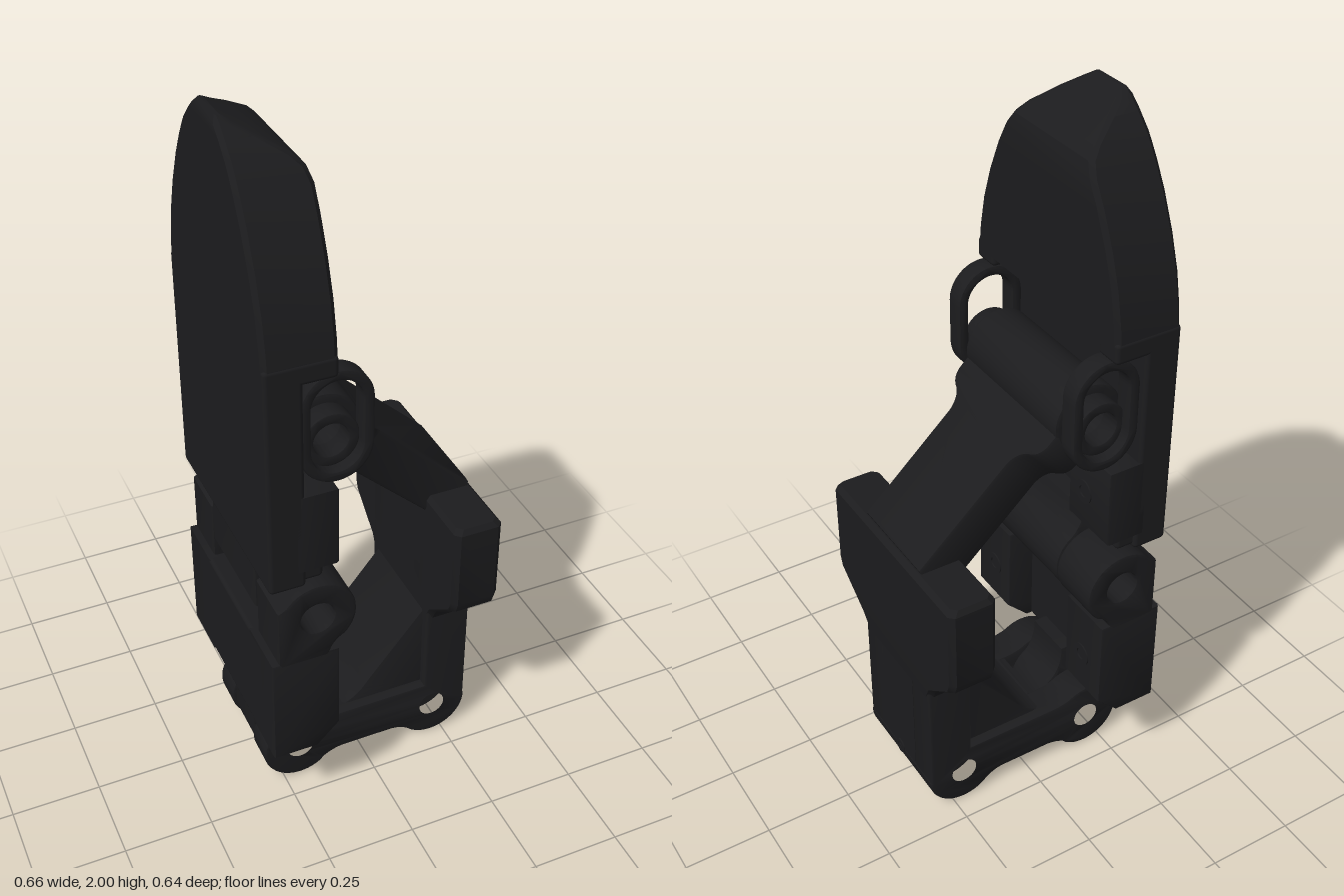
import * as THREE from 'three';
import { toCreasedNormals } from 'three/addons/utils/BufferGeometryUtils.js';
import { RoundedBoxGeometry } from 'three/addons/geometries/RoundedBoxGeometry.js';

const dark = new THREE.MeshStandardMaterial({ color: 0x1c1c1e });
const HOLE = 0.047;

export function createModel() {
  const root = new THREE.Group();

  function add(name, geo) {
    const mesh = new THREE.Mesh(geo, dark);
    mesh.name = name;
    root.add(mesh);
    return mesh;
  }

  // Bevelled slab of a shape drawn in the x-y plane, from z0 to z1
  function slab(shape, z0, z1, bevel = 0.008) {
    const geo = new THREE.ExtrudeGeometry(shape, {
      depth: z1 - z0 - 2 * bevel, curveSegments: 24,
      bevelEnabled: bevel > 0, bevelThickness: bevel, bevelSize: bevel, bevelOffset: -bevel, bevelSegments: 2,
    });
    geo.translate(0, 0, z0 + bevel);
    return toCreasedNormals(geo, 0.6);
  }
  function pair(name, shape, z0, z1, bevel) {
    add(name, slab(shape, z0, z1, bevel));
    add(name, slab(shape, -z1, -z0, bevel));
  }
  function box(name, x0, x1, y0, y1, z0, z1, r = 0.012) {
    const geo = new RoundedBoxGeometry(x1 - x0, y1 - y0, z1 - z0, 2, r);
    add(name, geo.translate((x0 + x1) / 2, (y0 + y1) / 2, (z0 + z1) / 2));
  }
  function boxPair(name, x0, x1, y0, y1, z0, z1) {
    box(name, x0, x1, y0, y1, z0, z1);
    box(name, x0, x1, y0, y1, -z1, -z0);
  }
  const poly = (...pts) => new THREE.Shape(pts.map(([x, y]) => new THREE.Vector2(x, y)));
  function drill(shape, x, y, r = HOLE) {
    shape.holes.push(new THREE.Path().absarc(x, y, r, 0, Math.PI * 2, true));
    return shape;
  }
  const disc = (x, y, r) => new THREE.Shape().absarc(x, y, r, 0, Math.PI * 2, false);

  // Loft of chamfered rectangles; each row is [y, halfWidth, backX, frontX]
  function loft(rows, c = 0.012) {
    const pos = [], idx = [], n = 8;
    for (const [y, w, b, f] of rows) {
      const k = Math.min(c, (f - b) / 3, w / 3);
      for (const [x, z] of [[f, w - k], [f, k - w], [f - k, -w], [b + k, -w], [b, k - w], [b, w - k], [b + k, w], [f - k, w]])
        pos.push(x, y, z);
    }
    for (let i = 0; i < rows.length - 1; i++)
      for (let j = 0; j < n; j++) {
        const a = i * n + j, d = i * n + (j + 1) % n;
        idx.push(a, d, a + n, d, d + n, a + n);
      }
    const top = (rows.length - 1) * n;
    for (let j = 1; j < n - 1; j++) idx.push(0, j + 1, j, top, top + j, top + j + 1);
    const geo = new THREE.BufferGeometry();
    geo.setAttribute('position', new THREE.Float32BufferAttribute(pos, 3));
    geo.setIndex(idx);
    return toCreasedNormals(geo, 0.5);
  }

  // Screw with a rim and a hollow centre, facing +x
  function screw(x, y, z, r = 0.034) {
    const profile = [[0, -0.01], [r * 0.5, -0.01], [r * 0.5, 0.004], [r, 0.004], [r, -0.01]];
    const geo = new THREE.LatheGeometry(profile.map(p => new THREE.Vector2(...p)).reverse(), 20);
    geo.rotateZ(-Math.PI / 2).translate(x, y, z);
    add('screw', toCreasedNormals(geo, 0.5));
  }

  // Upper plate: pointed blade, thin back slab, side lugs and screw pads
  add('blade', loft([
    [1.46, 0.32, -0.33, -0.14], [1.53, 0.313, -0.33, -0.14], [1.62, 0.295, -0.33, -0.14],
    [1.71, 0.265, -0.33, -0.14], [1.8, 0.225, -0.33, -0.14], [1.86, 0.191, -0.33, -0.14],
    [1.895, 0.168, -0.33, -0.15], [1.92, 0.15, -0.33, -0.175], [1.96, 0.11, -0.33, -0.24],
    [1.985, 0.08, -0.33, -0.285], [2, 0.058, -0.322, -0.31],
  ]));
  box('plateBack', -0.33, -0.23, 0.83, 1.48, -0.32, 0.32);
  boxPair('sideLug', -0.33, -0.14, 1.43, 1.49, 0.24, 0.32);
  const pad = poly([0.14, 0.88], [0.32, 0.88], [0.32, 1.11], [0.23, 1.11], [0.215, 1.07], [0.14, 1.05]);
  for (const s of [1, -1]) {
    const geo = slab(pad, -0.26, -0.14);
    // Turn the pad so its outline lies in the z-y plane
    geo.applyMatrix4(new THREE.Matrix4().makeBasis(
      new THREE.Vector3(0, 0, -1), new THREE.Vector3(0, 1, 0), new THREE.Vector3(1, 0, 0)));
    if (s > 0) geo.rotateY(Math.PI).translate(-0.4, 0, 0);
    add('screwPad', geo);
    screw(-0.14, 0.99, s * 0.21);
  }
  boxPair('plateFoot', -0.31, -0.18, 0.84, 0.9, 0.14, 0.31);

  // Hinge between plate and lower block
  const hx = -0.2, hy = 0.71;
  const knuckle = new THREE.Shape();
  knuckle.moveTo(-0.31, 0.57);
  knuckle.lineTo(-0.17, 0.57);
  knuckle.quadraticCurveTo(-0.165, 0.61, -0.13, 0.63);
  knuckle.absarc(hx, hy, 0.108, -0.82, Math.PI * 0.8, false);
  knuckle.lineTo(-0.31, 0.76);
  drill(knuckle, hx, hy);
  pair('lowerKnuckle', knuckle, 0.165, 0.32);
  const mid = new THREE.Shape();
  mid.moveTo(-0.31, 0.87);
  mid.lineTo(-0.31, 0.66);
  mid.lineTo(-0.287, 0.65);
  mid.absarc(hx, hy, 0.105, -2.53, 0.85, false);
  mid.quadraticCurveTo(-0.165, 0.81, -0.18, 0.87);
  add('upperKnuckle', slab(drill(mid, hx, hy), -0.16, 0.16));

  // Lower block with screw cheeks and a tongue that enters the fork
  const cheek = poly([-0.33, 0.25], [-0.205, 0.25], [-0.14, 0.315], [-0.14, 0.588], [-0.33, 0.588]);
  pair('blockCheek', cheek, 0.15, 0.32);
  box('blockBack', -0.33, -0.22, 0.25, 0.588, -0.25, 0.25);
  screw(-0.14, 0.43, 0.23);
  screw(-0.14, 0.43, -0.23);
  const tongue = new THREE.Shape();
  tongue.moveTo(-0.3, 0.3);
  tongue.lineTo(-0.3, 0.11);
  tongue.absarc(-0.2, 0.11, 0.1, Math.PI, Math.PI * 2.3, false);
  tongue.quadraticCurveTo(-0.18, 0.22, -0.18, 0.3);
  add('tongue', slab(drill(tongue, -0.2, 0.11), -0.075, 0.075));

  // Frame profile: base bar, rear boss and column, with or without the fork boss
  function frameShape(fork) {
    const s = new THREE.Shape();
    s.moveTo(0.32, 0.84);
    s.lineTo(0.32, 0.11);
    s.absarc(0.215, 0.11, 0.107, 0, -2.25, true);
    s.quadraticCurveTo(0.12, 0.055, 0.08, 0.055);
    s.lineTo(-0.06, 0.055);
    if (fork) {
      s.quadraticCurveTo(-0.1, 0.055, -0.133, 0.03);
      s.absarc(-0.2, 0.11, 0.107, -0.87, -5.25, true);
      s.quadraticCurveTo(-0.12, 0.19, -0.08, 0.19);
    } else s.lineTo(-0.06, 0.19);
    s.lineTo(0.19, 0.19);
    s.lineTo(0.19, 0.84);
    if (fork) drill(s, -0.2, 0.11);
    return drill(s, 0.215, 0.11);
  }
  pair('frameSide', frameShape(true), 0.08, 0.18);
  add('frameCore', slab(frameShape(false), -0.085, 0.085, 0));
  screw(0.32, 0.53, 0, 0.026);
  screw(0.32, 0.11, 0, 0.022);

  // Gusset in the inner corner of the frame
  const gusset = new THREE.Shape();
  gusset.moveTo(0.2, 0.48);
  gusset.lineTo(0.19, 0.46);
  gusset.lineTo(0.02, 0.25);
  gusset.quadraticCurveTo(-0.02, 0.19, -0.08, 0.185);
  gusset.lineTo(0.2, 0.18);
  add('gusset', slab(gusset, -0.15, 0.15));

  // Wide wings at the top of the column, narrowing downwards
  add('wings', loft([
    [0.44, 0.175, 0.19, 0.32], [0.49, 0.2, 0.19, 0.325], [0.58, 0.31, 0.19, 0.328], [0.61, 0.32, 0.19, 0.328],
    [0.845, 0.32, 0.19, 0.328], [0.86, 0.31, 0.2, 0.315],
  ], 0.015));

  // Diagonal arm, flared where it meets its barrel
  const plan = new THREE.Shape();
  plan.moveTo(-0.145, 0.575);
  plan.lineTo(-0.145, 0.22);
  plan.quadraticCurveTo(-0.15, 0.18, -0.18, 0.165);
  plan.quadraticCurveTo(-0.217, 0.15, -0.217, 0.11);
  plan.lineTo(-0.217, 0.06);
  plan.lineTo(0.217, 0.06);
  plan.lineTo(0.217, 0.11);
  plan.quadraticCurveTo(0.217, 0.15, 0.18, 0.165);
  plan.quadraticCurveTo(0.15, 0.18, 0.145, 0.22);
  plan.lineTo(0.145, 0.575);
  const armGeo = slab(plan, -0.08, 0.054, 0.012);
  armGeo.applyMatrix4(new THREE.Matrix4().makeBasis(
    new THREE.Vector3(0, 0, 1), new THREE.Vector3(0.736, -0.677, 0), new THREE.Vector3(0.677, 0.736, 0)));
  add('arm', armGeo.translate(-0.14, 1.22, 0));
  add('armBarrel', slab(drill(disc(-0.14, 1.22, 0.1), -0.14, 1.22), -0.217, 0.217));
  pair('pivotCollar', drill(disc(-0.14, 1.22, 0.075), -0.14, 1.22), 0.21, 0.27, 0.004);

  // Oval links at both ends of the barrel
  function oval(target, r) {
    target.absarc(-0.135, 1.337, r, 0, Math.PI, false);
    target.absarc(-0.135, 1.213, r, Math.PI, Math.PI * 2, false);
    return target;
  }
  const link = oval(new THREE.Shape(), 0.097);
  link.holes.push(oval(new THREE.Path(), 0.068));
  pair('ovalLink', link, 0.242, 0.3, 0.008);

  return root;
}
